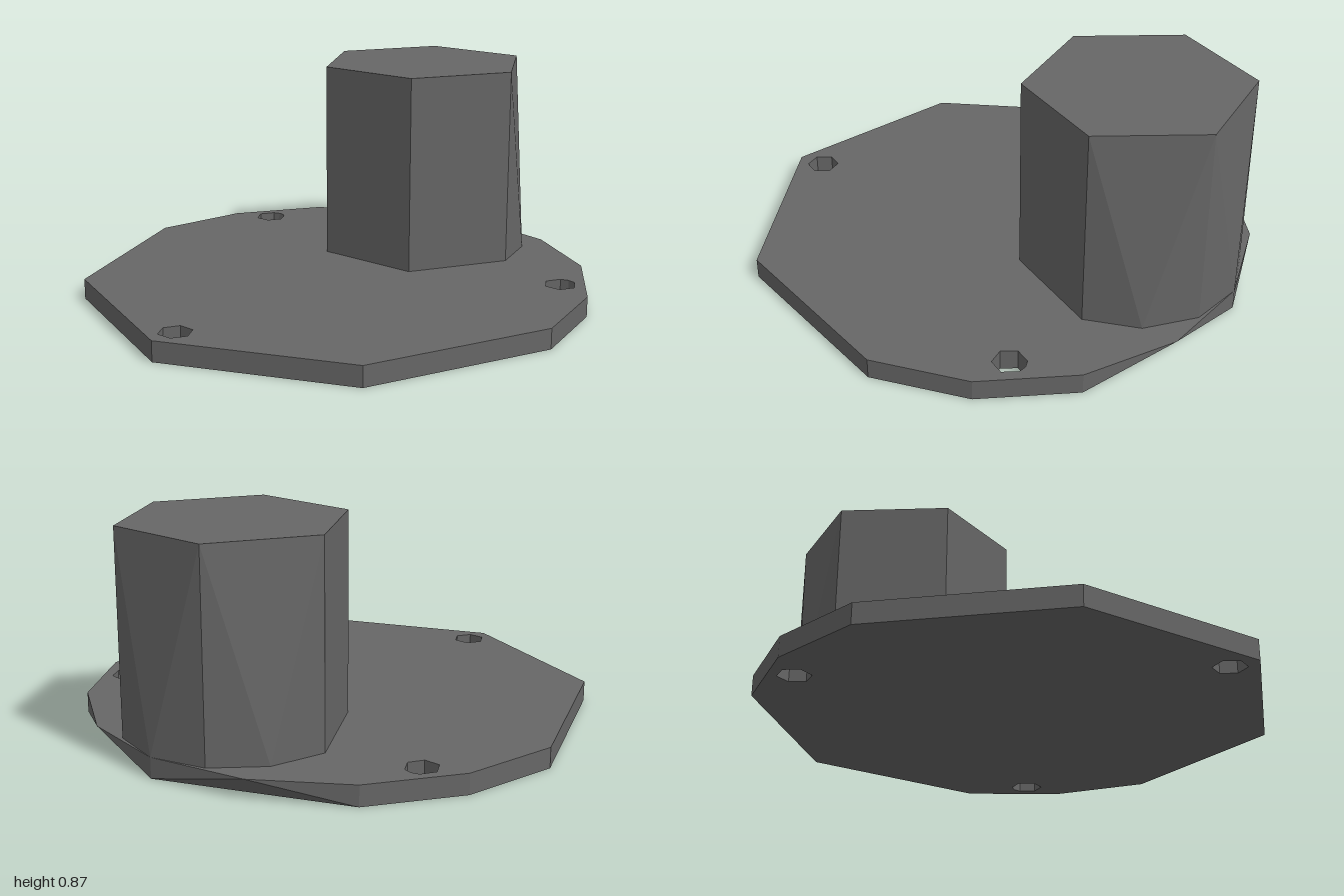
import * as THREE from 'three';

// Faceted solid between two outlines of [x, z], listed counter-clockwise from above.
// Repeated points in an outline collapse wall quads into triangles.
function loft(bottom, top, y0, y1, holes = [], closedBelow = true) {
  const pos = [];
  const wall = (b, t) => b.forEach((p, i) => {
    const j = (i + 1) % b.length;
    const quad = [[p, y0], [b[j], y0], [t[j], y1], [t[i], y1]];
    for (const tri of [[0, 1, 2], [0, 2, 3]]) {
      const c = tri.map((k) => [quad[k][0][0], quad[k][1], quad[k][0][1]]);
      const same = (u, v) => u.every((n, k) => Math.abs(n - v[k]) < 1e-6);
      if (!same(c[0], c[1]) && !same(c[1], c[2]) && !same(c[0], c[2])) pos.push(...c.flat());
    }
  });
  const cap = (outline, inner, y, up) => {
    const clean = (l) => l
      .filter((p, i) => { const q = l[(i + 1) % l.length]; return Math.hypot(p[0] - q[0], p[1] - q[1]) > 1e-6; })
      .map(([x, z]) => new THREE.Vector2(x, z));
    const contour = clean(outline);
    const cuts = inner.map(clean);
    const pts = [contour, ...cuts].flat();
    for (const f of THREE.ShapeUtils.triangulateShape(contour, cuts)) {
      let [a, b, c] = f.map((i) => pts[i]);
      const facesUp = (b.x - a.x) * (c.y - a.y) - (b.y - a.y) * (c.x - a.x) < 0;
      if (facesUp !== up) [b, c] = [c, b];
      for (const p of [a, b, c]) pos.push(p.x, y, p.y);
    }
  };
  wall(bottom, top);
  for (const h of holes) wall([...h.bottom].reverse(), [...h.top].reverse());
  cap(top, holes.map((h) => h.top), y1, true);
  if (closedBelow) cap(bottom, holes.map((h) => h.bottom), y0, false);
  const g = new THREE.BufferGeometry();
  g.setAttribute('position', new THREE.Float32BufferAttribute(pos, 3));
  g.computeVertexNormals();
  return g;
}

// Points on a circle at the given angles, counter-clockwise from above
const ring = (cx, cz, r, degrees) => degrees.map((d) => {
  const a = THREE.MathUtils.degToRad(d);
  return [cx + r * Math.cos(a), cz - r * Math.sin(a)];
});

export function createModel() {
  const group = new THREE.Group();
  const material = new THREE.MeshStandardMaterial({ color: 0x666666, flatShading: true });
  const add = (name, geometry) => {
    const mesh = new THREE.Mesh(geometry, material);
    mesh.name = name;
    group.add(mesh);
  };
  const thickness = 0.08, height = 0.865;

  // Base plate: finer rim at the back, coarser lower rim
  const plateTop = ring(0, 0, 1, [0, 22.5, 45, 67.5, 90, 112.5, 135, 157.5, 180, 225, 270, 315]);
  const plateBottom = ring(0, 0, 1, [0, 22.5, 45, 90, 90, 135, 135, 157.5, 180, 225, 270, 315]);

  // Three screw holes
  const r = 0.064;
  const hex = [0, 60, 120, 180, 240, 300], rounded = [0, 60, 90, 120, 180, 240, 300];
  const hole = (x, z, top, bottom) => ({ top: ring(x, z, r, top), bottom: ring(x, z, r, bottom) });
  const holes = [
    hole(0.766, -0.446, rounded, rounded),
    hole(-0.768, -0.446, rounded, [0, 60, 120, 120, 180, 240, 300]),
    hole(0, 0.886, hex, hex),
  ];
  add('basePlate', loft(plateBottom, plateTop, 0, thickness, holes));

  // Post: hexagonal top, rounder foot at the back
  const foot = ring(0, -0.568, 0.432, [0, 30, 60, 90, 120, 150, 180, 240, 300]);
  const head = ring(0, -0.568, 0.432, [0, 0, 60, 60, 120, 120, 180, 240, 300]);
  add('post', loft(foot, head, thickness, height, [], false));

  return group;
}
